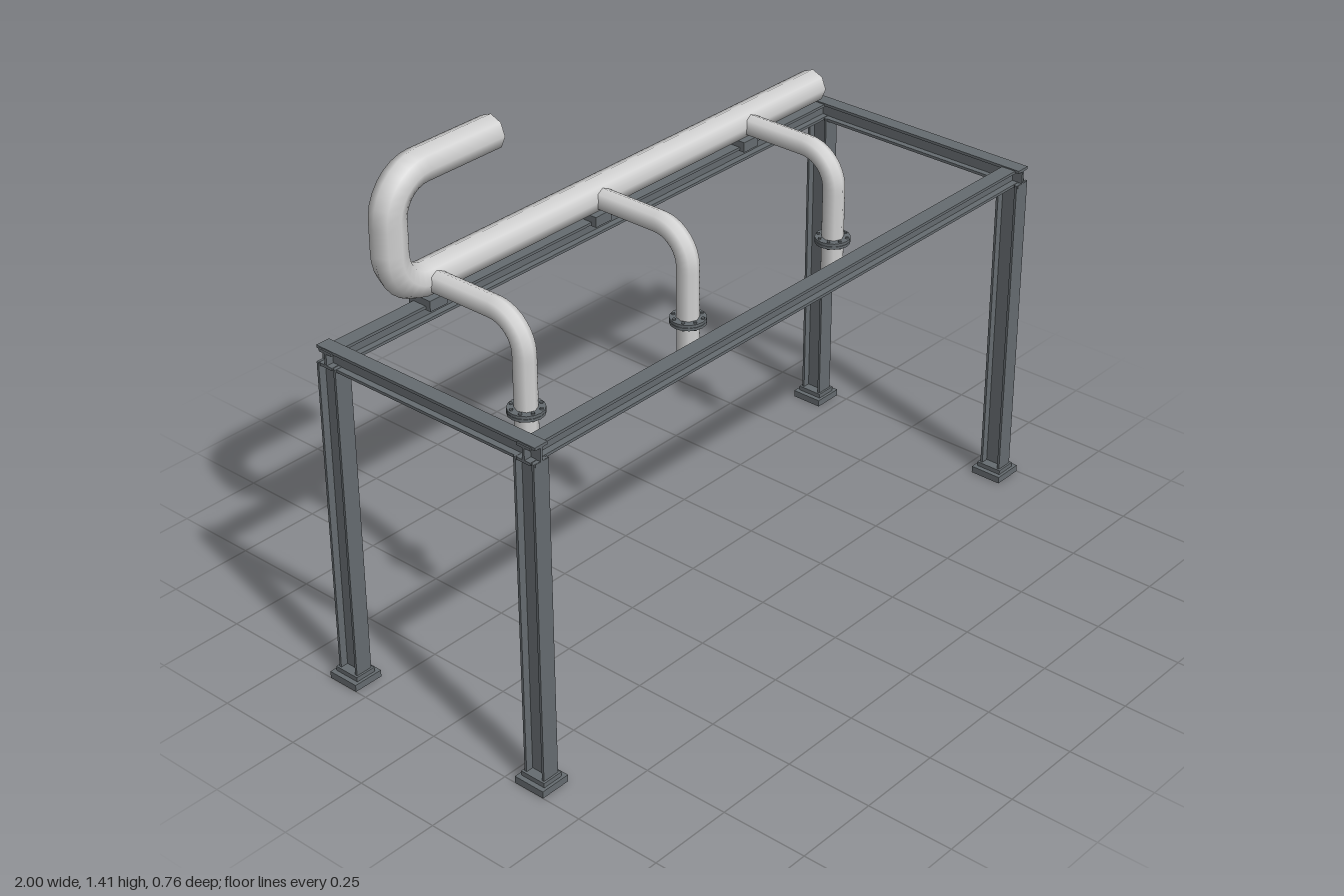
import * as THREE from 'three';

const steel = new THREE.MeshStandardMaterial({ color: 0x666c70 });
steel.name = 'dark steel';
const pipeGrey = new THREE.MeshStandardMaterial({ color: 0xd2d2d2 });
pipeGrey.name = 'light pipe grey';

function add(parent, name, geometry, material, x = 0, y = 0, z = 0) {
  const mesh = new THREE.Mesh(geometry, material);
  mesh.name = name;
  mesh.position.set(x, y, z);
  parent.add(mesh);
  return mesh;
}

// I-section extruded along z and centred; flanges lie at +y and -y
function iBeam(height, width, flange, web, length) {
  const h = height / 2, b = width / 2, t = web / 2, f = h - flange;
  const shape = new THREE.Shape([
    [-b, -h], [b, -h], [b, -f], [t, -f], [t, f], [b, f],
    [b, h], [-b, h], [-b, f], [-t, f], [-t, -f], [-b, -f],
  ].map(([x, y]) => new THREE.Vector2(x, y)));
  return new THREE.ExtrudeGeometry(shape, { depth: length, bevelEnabled: false })
    .translate(0, 0, -length / 2);
}

// Eight-sided pipe along straight runs joined by round elbows, with end caps
function pipe(name, corners, radius, bend, segments) {
  const group = new THREE.Group();
  group.name = name;
  const pts = corners.map((c) => new THREE.Vector3(...c));
  const path = new THREE.CurvePath();
  let from = pts[0];
  for (let i = 1; i < pts.length - 1; i++) {
    const p = pts[i];
    const a = pts[i - 1].clone().sub(p).setLength(bend).add(p);
    const b = pts[i + 1].clone().sub(p).setLength(bend).add(p);
    path.add(new THREE.LineCurve3(from, a));
    path.add(new THREE.CubicBezierCurve3(a, a.clone().lerp(p, 0.552), b.clone().lerp(p, 0.552), b));
    from = b;
  }
  path.add(new THREE.LineCurve3(from, pts[pts.length - 1]));
  add(group, 'pipeWall', new THREE.TubeGeometry(path, segments, radius, 8), pipeGrey);
  const last = pts.length - 1;
  for (const [end, next] of [[0, 1], [last, last - 1]]) {
    const cap = add(group, 'pipeEnd', new THREE.CircleGeometry(radius, 8), pipeGrey, ...corners[end]);
    const outward = pts[end].clone().sub(pts[next]).normalize();
    cap.quaternion.setFromUnitVectors(new THREE.Vector3(0, 0, 1), outward);
  }
  return group;
}

// Bolted flange pair around a branch pipe
function boltedFlange(x, y) {
  const group = new THREE.Group();
  group.name = 'boltedFlange';
  group.position.set(x, y, 0);
  for (const s of [-1, 1]) {
    add(group, 'flangeDisc', new THREE.CylinderGeometry(0.05, 0.05, 0.008, 16), steel, 0, s * 0.0045, 0);
  }
  for (let i = 0; i < 8; i++) {
    const a = (i + 0.5) * Math.PI / 4;
    add(group, 'bolt', new THREE.CylinderGeometry(0.005, 0.005, 0.025, 6), steel,
      Math.cos(a) * 0.041, 0, Math.sin(a) * 0.041);
  }
  return group;
}

export function createModel() {
  const model = new THREE.Group();
  model.name = 'pipeRack';
  const px = 0.955, pz = 0.333;

  // Columns with stepped base plates
  const columnGeo = iBeam(0.066, 0.05, 0.007, 0.007, 0.925).rotateX(Math.PI / 2);
  for (const sx of [-1, 1]) {
    for (const sz of [-1, 1]) {
      add(model, 'column', columnGeo, steel, sx * px, 0.4825, sz * pz);
      add(model, 'basePlate', new THREE.BoxGeometry(0.09, 0.02, 0.095), steel, sx * px, 0.01, sz * pz);
      add(model, 'baseCollar', new THREE.BoxGeometry(0.062, 0.013, 0.078), steel, sx * px, 0.0265, sz * pz);
    }
  }

  // Top frame of long and cross beams
  const longGeo = iBeam(0.048, 0.044, 0.008, 0.007, 1.96).rotateY(Math.PI / 2);
  const crossGeo = iBeam(0.053, 0.042, 0.008, 0.007, 0.735);
  for (const s of [-1, 1]) {
    add(model, 'longBeam', longGeo, steel, 0, 0.962, s * pz);
    add(model, 'crossBeam', crossGeo, steel, s * px, 0.963, 0);
  }

  // Header pipe with a return loop at one end
  model.add(pipe('headerPipe', [
    [0.905, 1.051, -pz], [-0.75, 1.051, -pz], [-0.75, 1.363, -pz], [-0.385, 1.363, -pz],
  ], 0.048, 0.11, 96));

  // Branch pipes, their flanges and the saddles under the header
  for (const x of [-0.63, -0.02, 0.587]) {
    model.add(pipe('branchPipe', [[x, 0.672, 0], [x, 1.049, 0], [x, 1.049, -pz]], 0.031, 0.1, 40));
    model.add(boltedFlange(x, 0.794));
    add(model, 'pipeSaddle', new THREE.BoxGeometry(0.06, 0.03, 0.076), steel, x, 0.99, -pz);
  }
  return model;
}
